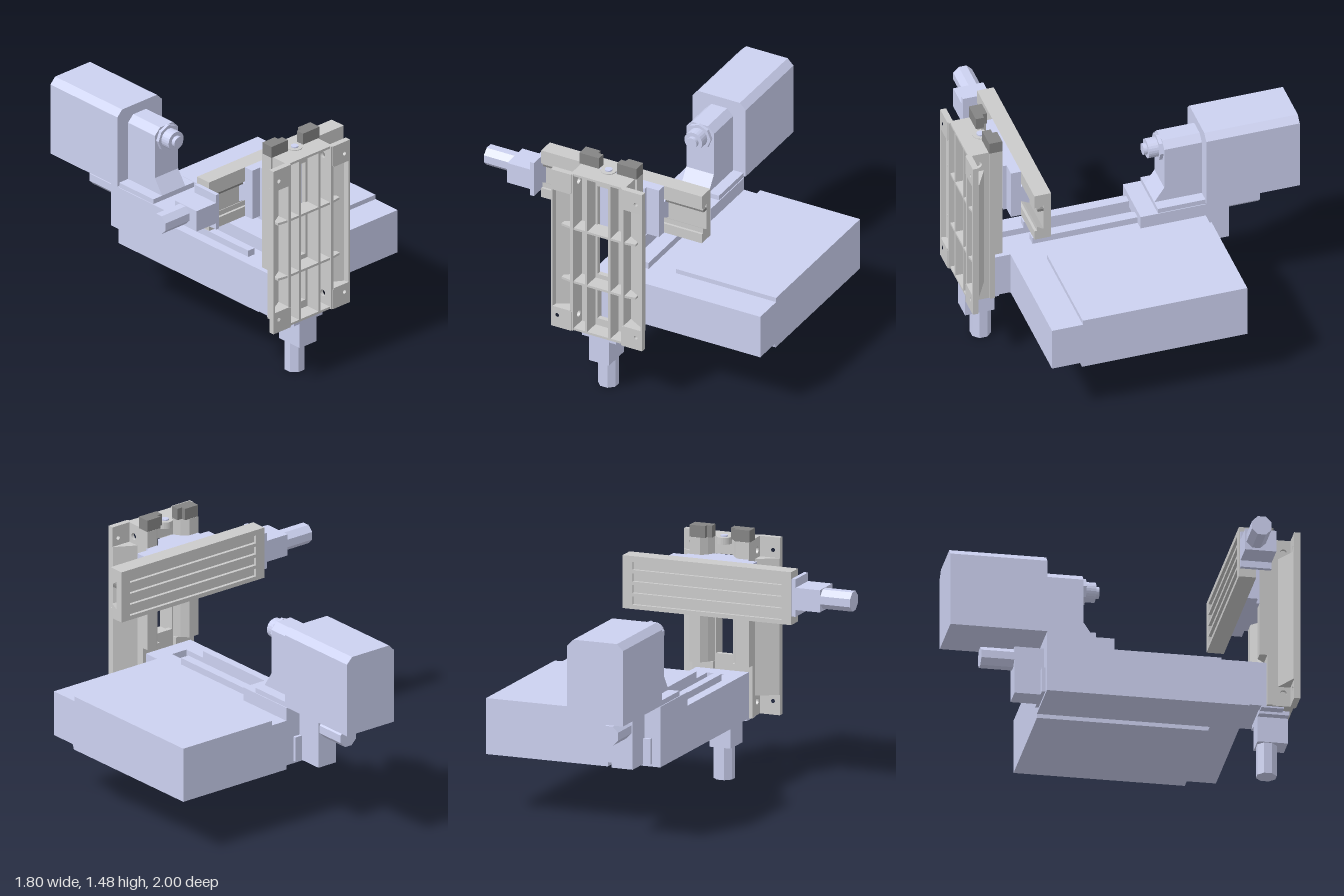
import * as THREE from 'three';

const blue = new THREE.MeshStandardMaterial({ color: 0xccd1f0, flatShading: true });
const grey = new THREE.MeshStandardMaterial({ color: 0xcccccc, flatShading: true });
const dark = new THREE.MeshStandardMaterial({ color: 0x858585, flatShading: true });
const C = -0.017; // centre line of the bed, column and headstock

export function createModel() {
  const root = new THREE.Group();
  let group = root;
  const section = (name) => {
    group = new THREE.Group();
    group.name = name;
    root.add(group);
  };
  const add = (name, geo, mat) => {
    const m = new THREE.Mesh(geo, mat);
    m.name = name;
    group.add(m);
    return m;
  };
  // Box from its limits on each axis
  const box = (name, mat, x0, x1, y0, y1, z0, z1) =>
    add(name, new THREE.BoxGeometry(Math.abs(x1 - x0), y1 - y0, z1 - z0)
      .translate((x0 + x1) / 2, (y0 + y1) / 2, (z0 + z1) / 2), mat);
  // Outline with optional round holes [a, b, radius] and rectangular holes [a0, a1, b0, b1]
  const outline = (pts, holes = []) => {
    const s = new THREE.Shape(pts.map(([a, b]) => new THREE.Vector2(a, b)));
    for (const h of holes) {
      const p = new THREE.Path();
      if (h.length === 3) p.absarc(h[0], h[1], h[2], 0, Math.PI * 2, true);
      else {
        p.moveTo(h[0], h[2]);
        p.lineTo(h[0], h[3]);
        p.lineTo(h[1], h[3]);
        p.lineTo(h[1], h[2]);
        p.closePath();
      }
      s.holes.push(p);
    }
    return s;
  };
  const rect = (a0, a1, b0, b1) => [[a0, b0], [a1, b0], [a1, b1], [a0, b1]];
  const extrude = (shape, depth) =>
    new THREE.ExtrudeGeometry(shape, { depth, bevelEnabled: false, curveSegments: 8 });
  // Outline in (z, y) drawn along x, in (x, z) along y, in (x, y) along z
  const alongX = (name, mat, pts, x0, x1, holes) =>
    add(name, extrude(outline(pts, holes), x1 - x0).rotateY(-Math.PI / 2).translate(x1, 0, 0), mat);
  const alongY = (name, mat, pts, y0, y1) =>
    add(name, extrude(outline(pts), y1 - y0).rotateX(Math.PI / 2).translate(0, y1, 0), mat);
  const alongZ = (name, mat, pts, z0, z1, holes) =>
    add(name, extrude(outline(pts, holes), z1 - z0).translate(0, 0, z0), mat);
  // Eight-sided motor standing on an axis
  const motor = (name, axis, len, x, y, z) => {
    const g = new THREE.CylinderGeometry(0.061, 0.061, len, 8).rotateY(Math.PI / 8);
    if (axis === 'x') g.rotateZ(Math.PI / 2);
    if (axis === 'z') g.rotateX(Math.PI / 2);
    add(name, g.translate(x, y, z), blue);
  };
  const disc = (name, mat, r, z0, z1, y, sides = 24) =>
    add(name, new THREE.CylinderGeometry(r, r, z1 - z0, sides)
      .rotateX(Math.PI / 2).translate(C, y, (z0 + z1) / 2), mat);

  // Bed with a channel between two ways
  section('bed');
  alongZ('bedBody', blue, [[-0.18, 0.365], [0.145, 0.365], [0.145, 0.64], [0.035, 0.64],
    [0.035, 0.6], [-0.07, 0.6], [-0.07, 0.64], [-0.18, 0.64]], -0.44, 0.73);
  for (const [a, b] of [[-0.12, -0.07], [0.035, 0.09]])
    box('bedWay', blue, a, b, 0.64, 0.68, -0.05, 0.58);
  box('columnMount', blue, -0.18, 0.145, 0.37, 0.64, 0.73, 0.83);
  box('bedMotorFlange', blue, C - 0.11, C + 0.11, 0.38, 0.53, -0.46, -0.44);
  box('bedMotorBlock', blue, C - 0.065, C + 0.065, 0.38, 0.67, -0.61, -0.44);
  motor('bedMotor', 'z', 0.19, C, 0.615, -0.705);

  // Control cabinet beside the bed
  section('cabinet');
  alongX('cabinetBody', blue, [[-0.44, 0.34], [0.55, 0.34], [0.56, 0.37], [0.73, 0.37],
    [0.73, 0.64], [-0.44, 0.64]], 0.145, 0.9);
  box('cabinetLid', blue, 0.25, 0.9, 0.64, 0.668, -0.44, 0.545);

  // Headstock, spindle and drive housing
  section('headstock');
  box('headstockBase', blue, -0.18, 0.145, 0.64, 0.72, -0.44, -0.05);
  box('headstockStep', blue, -0.175, 0.14, 0.72, 0.75, -0.44, -0.155);
  alongX('headstockFoot', blue, [[-0.44, 0.75], [-0.155, 0.75], [-0.215, 0.84], [-0.44, 0.84]],
    C - 0.09, C + 0.09);
  alongZ('headstockPost', blue, [[C - 0.09, 0.84], [C + 0.09, 0.84], [C + 0.09, 1.11],
    [C + 0.05, 1.15], [C - 0.05, 1.15], [C - 0.09, 1.11]], -0.44, -0.215);
  disc('spindleCollar', blue, 0.08, -0.215, -0.195, 1.075, 8);
  disc('spindleFlange', blue, 0.058, -0.195, -0.135, 1.075);
  disc('spindleNose', blue, 0.034, -0.135, -0.112, 1.075);
  alongZ('driveHousing', blue, [[-0.19, 0.73], [0.155, 0.73], [0.155, 1.172], [0.117, 1.21],
    [-0.153, 1.21], [-0.19, 1.172]], -1, -0.44);

  // Upright column: hollow casting open to the front
  section('column');
  alongZ('columnBackWall', grey, rect(C - 0.17, C + 0.17, 0.37, 1.41), 0.86, 0.89,
    [[-0.07, 0.035, 0.725, 1.31], [-0.07, 0.035, 0.43, 0.62]]);
  for (const s of [-1, 1]) {
    const at = (pts) => pts.map(([x, z]) => [C + s * x, z]);
    const mid = C + s * 0.165;
    alongX('columnSideWall', grey, rect(0.86, 0.995, 0.37, 1.41), mid - 0.009, mid + 0.009,
      [[0.925, 1.335, 0.02], [0.925, 0.45, 0.02]]);
    alongY('slopedFlange', grey, at([[0.172, 0.892], [0.297, 0.962], [0.297, 1], [0.286, 1],
      [0.28, 0.97], [0.172, 0.908]]), 0.49, 1.29);
    for (const y of [0.49, 1.278])
      alongY('flangeEnd', grey, at([[0.172, 0.895], [0.296, 0.963], [0.296, 1], [0.172, 1]]), y, y + 0.012);
    for (const [y0, y1, hole] of [[0.37, 0.495, 0.45], [1.285, 1.41, 1.335]])
      alongZ('boltPad', grey, rect(C + s * 0.165, C + s * 0.297, y0, y1), 0.965, 1,
        [[C + s * 0.255, hole, 0.012]]);
    box('innerWeb', grey, C + s * 0.068, C + s * 0.084, 0.37, 1.41, 0.88, 0.985);
    // Dovetail way on the back, with its wiper on top
    const way = at([[0.185, 0.86], [0.185, 0.785], [0.12, 0.785], [0.085, 0.82], [0.06, 0.86]]);
    alongY('columnWay', grey, way, 0.68, 1.41);
    alongY('columnWayFoot', grey, at(rect(0.06, 0.185, 0.83, 0.86)), 0.37, 0.68);
    box('wayWiper', dark, C + s * 0.058, C + s * 0.186, 1.41, 1.48, 0.815, 0.865);
    box('wayWiperTab', dark, C + s * 0.09, C + s * 0.186, 1.41, 1.48, 0.787, 0.815);
    for (const y of [0.69, 1.045])
      alongY('flangeRib', grey, at([[0.172, 0.905], [0.24, 0.945], [0.24, 0.975], [0.172, 0.985]]),
        y - 0.007, y + 0.007);
  }
  for (const y of [0.377, 0.69, 1.045, 1.403])
    box('crossRib', grey, C - 0.16, C + 0.16, y - 0.007, y + 0.007, 0.88, 0.985);
  add('screwBearing', new THREE.CylinderGeometry(0.045, 0.045, 0.04, 24).translate(C, 1.395, 0.857), grey);
  add('screwEnd', new THREE.CylinderGeometry(0.022, 0.022, 0.01, 16).translate(C, 1.418, 0.857), blue);
  box('columnMotorFlange', blue, C - 0.11, C + 0.11, 0.345, 0.37, 0.795, 0.97);
  box('columnFootPlate', blue, -0.18, 0.145, 0.36, 0.37, 0.8, 0.93);
  box('columnMotorBlock', blue, C - 0.065, C + 0.065, 0.19, 0.345, 0.795, 0.97);
  motor('columnMotor', 'y', 0.19, C, 0.095, 0.857);

  // Saddle linking the column ways to the cross table
  section('saddle');
  box('saddlePlate', blue, -0.26, 0.26, 1, 1.31, 0.705, 0.765);
  box('saddleFace', blue, -0.2, 0.18, 1, 1.31, 0.765, 0.785);
  alongY('saddleColumnTongue', blue, [[C - 0.11, 0.785], [C + 0.11, 0.785], [C + 0.078, 0.82],
    [C + 0.055, 0.855], [C - 0.055, 0.855], [C - 0.078, 0.82]], 1, 1.31);
  alongX('saddleTableTongue', blue, [[0.705, 1.1], [0.655, 1.075], [0.655, 1.225], [0.705, 1.2]], -0.26, 0.26);

  // Cross table with a dovetail groove in front and slots behind
  section('crossTable');
  alongX('tableBody', grey, [[0.625, 1], [0.705, 1], [0.705, 1.06], [0.69, 1.06], [0.69, 1.09],
    [0.65, 1.065], [0.65, 1.235], [0.69, 1.21], [0.69, 1.225], [0.705, 1.225], [0.705, 1.31],
    [0.625, 1.31]], -0.54, 0.505);
  box('tableGib', dark, -0.54, 0.505, 1.195, 1.21, 0.65, 0.685);
  alongZ('tableBackFrame', grey, rect(-0.54, 0.505, 1, 1.31), 0.605, 0.625,
    [0, 1, 2, 3].map((i) => [-0.48, 0.445, 1.025 + i * 0.068, 1.025 + i * 0.068 + 0.048]));
  box('tableMotorFlange', blue, -0.565, -0.54, 1.05, 1.27, 0.61, 0.79);
  box('tableMotorBlock', blue, -0.715, -0.565, 1.09, 1.22, 0.61, 0.79);
  motor('tableMotor', 'x', 0.185, -0.8075, 1.16, 0.673);

  return root;
}
